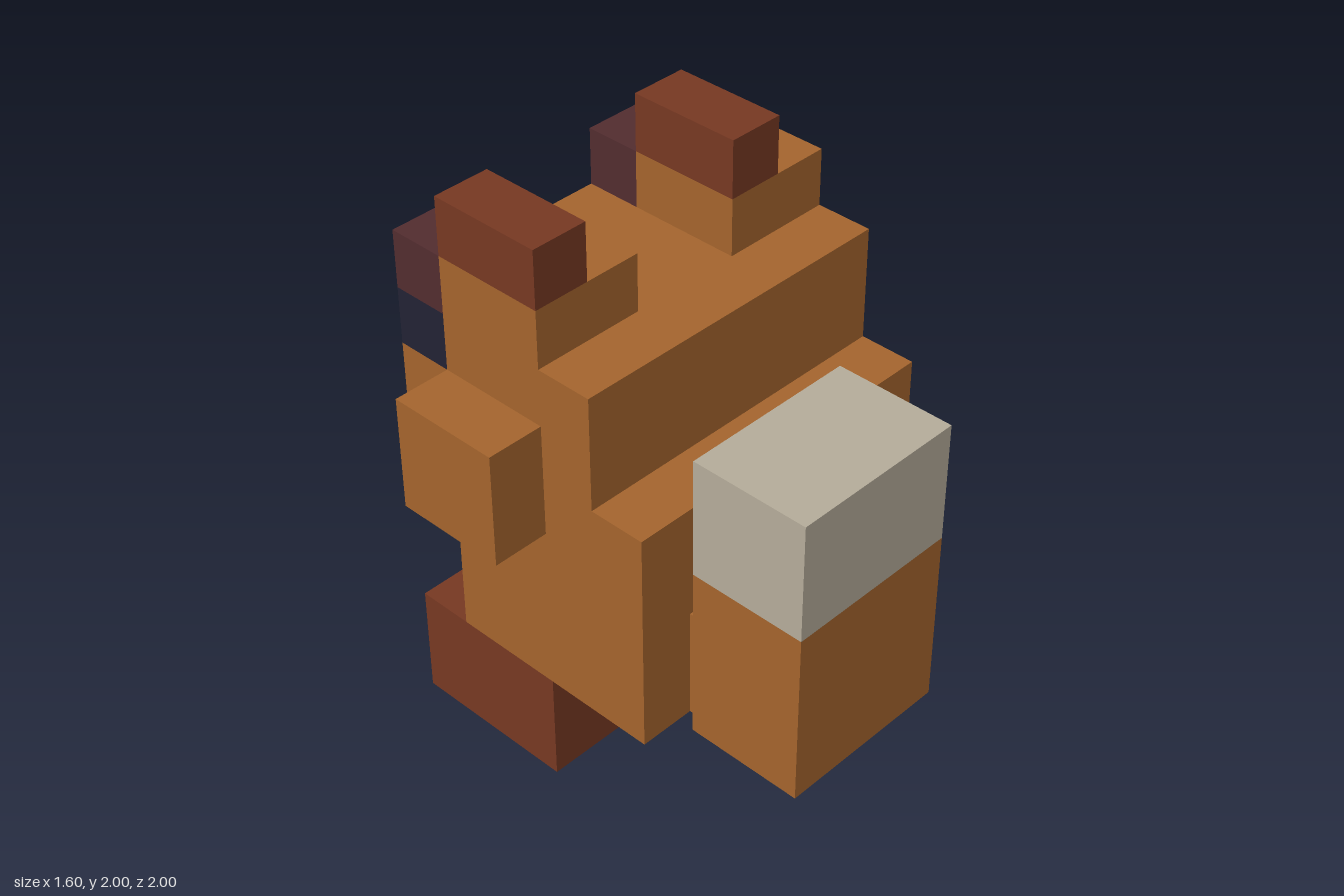
import * as THREE from 'three';

const mat = (name, color) => {
  const m = new THREE.MeshStandardMaterial({ color });
  m.name = name;
  return m;
};

export function createModel() {
  const fur = mat('orange fur', 0xa4642d);
  const brown = mat('russet brown', 0x763822);
  const cream = mat('cream fur', 0xb4ab99);
  const navy = mat('dark navy', 0x222234);
  const plum = mat('inner ear plum', 0x522c2f);

  const model = new THREE.Group();
  model.name = 'blockFox';

  // Box between two corners, given as ranges along each axis
  const block = (name, material, [x0, x1], [y0, y1], [z0, z1]) => {
    const mesh = new THREE.Mesh(new THREE.BoxGeometry(x1 - x0, y1 - y0, z1 - z0), material);
    mesh.position.set((x0 + x1) / 2, (y0 + y1) / 2, (z0 + z1) / 2);
    mesh.name = name;
    model.add(mesh);
  };
  // Same block on both sides of x = 0
  const pair = (name, material, [x0, x1], y, z) => {
    block('left' + name, material, [x0, x1], y, z);
    block('right' + name, material, [-x1, -x0], y, z);
  };

  // Body
  block('body', fur, [-0.6, 0.6], [0.4, 1.2], [-0.4, 0.4]);
  block('belly', cream, [-0.4, 0.4], [0.4, 1.0], [-0.6, -0.4]);
  pair('Leg', brown, [0.2, 0.6], [0, 0.4], [-0.6, 0]);
  pair('Arm', fur, [0.6, 0.8], [1.0, 1.4], [-0.4, 0]);

  // Head, with the eyes set into the upper corners of the face
  block('skull', fur, [-0.6, 0.6], [1.2, 1.6], [-0.4, 0.2]);
  block('face', fur, [-0.6, 0.6], [1.0, 1.4], [-0.6, -0.4]);
  block('brow', fur, [-0.4, 0.4], [1.4, 1.6], [-0.6, -0.4]);
  pair('Eye', navy, [0.4, 0.6], [1.4, 1.6], [-0.6, -0.4]);

  // Muzzle
  block('muzzle', cream, [-0.4, 0.4], [1.0, 1.4], [-0.8, -0.6]);
  block('mouth', cream, [-0.2, 0.2], [1.0, 1.2], [-1.0, -0.8]);
  block('nose', navy, [-0.2, 0.2], [1.2, 1.4], [-1.0, -0.8]);

  // Ears: tips and inner ears both sit at the low-x side of each ear
  pair('Ear', fur, [0.2, 0.6], [1.6, 1.8], [-0.4, 0]);
  for (const [side, x] of [['left', 0.2], ['right', -0.6]]) {
    block(side + 'EarTip', brown, [x, x + 0.2], [1.8, 2.0], [-0.4, 0]);
    block(side + 'InnerEar', plum, [x, x + 0.2], [1.6, 1.8], [-0.6, -0.4]);
  }

  // Tail, curling up to one side
  block('tailBase', fur, [-0.4, 0.2], [0.4, 0.8], [0.4, 0.8]);
  block('tail', fur, [-0.6, 0], [0.6, 1.2], [0.6, 1.0]);
  block('tailTip', cream, [-0.6, 0], [1.2, 1.6], [0.6, 1.0]);

  return model;
}
